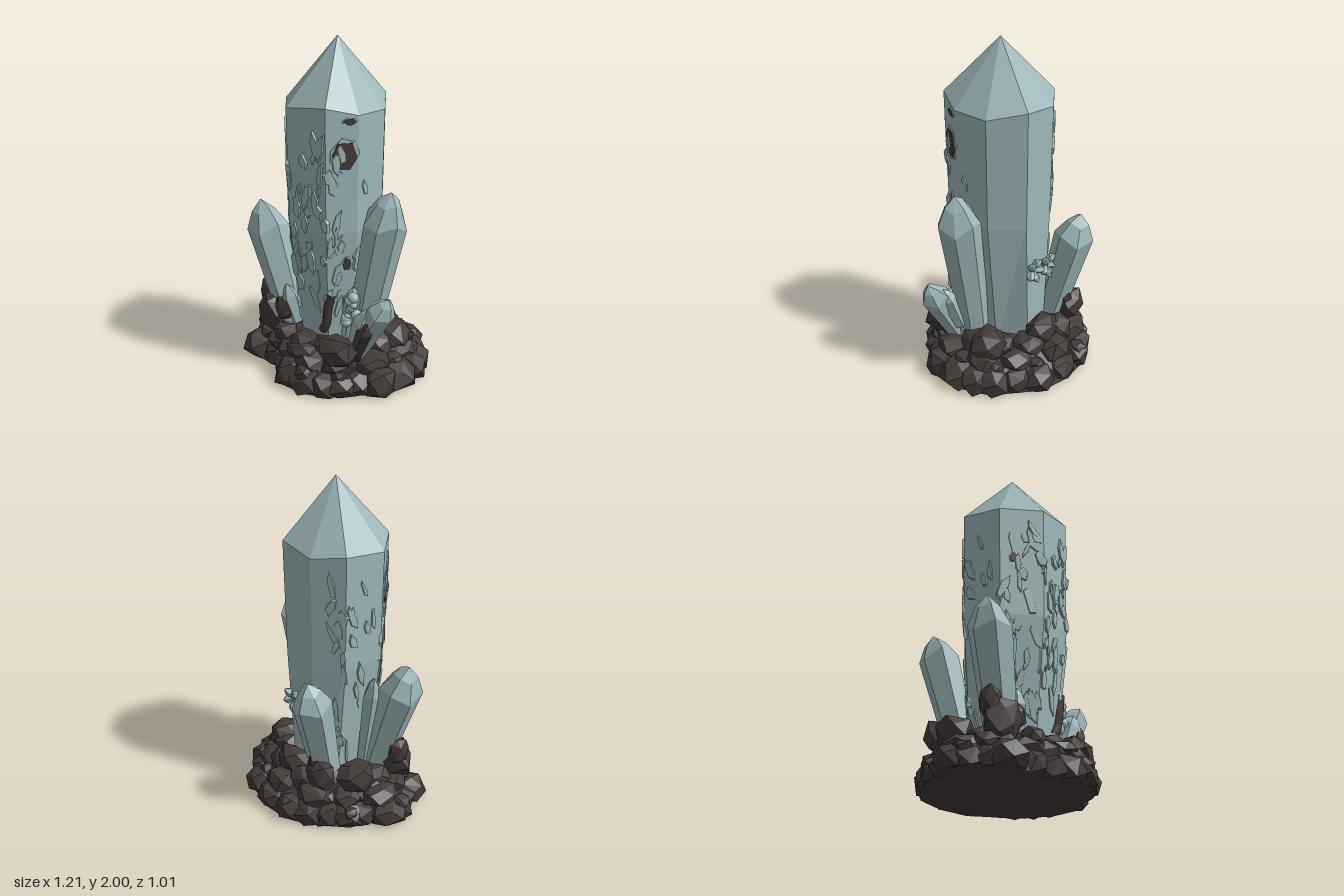
import * as THREE from 'three';
import { ConvexGeometry } from 'three/addons/geometries/ConvexGeometry.js';

const V = (x, y, z) => new THREE.Vector3(x, y, z);

// Small seeded random generator
let seed = 7;
const rnd = (a = 0, b = 1) => {
  seed = (seed * 16807) % 2147483647;
  return a + (b - a) * (seed / 2147483647);
};

// Faceted solid: stacked rings of points (counter-clockwise from above), closed by a tip
function solid(rings, tip) {
  const out = [], n = rings[0].length;
  const tri = (...p) => p.forEach((v) => out.push(v.x, v.y, v.z));
  const last = rings[rings.length - 1];
  const centre = rings[0].reduce((s, p) => s.add(p), V(0, 0, 0)).divideScalar(n);
  for (let i = 0; i < n; i++) {
    const j = (i + 1) % n;
    for (let k = 0; k + 1 < rings.length; k++) {
      const a = rings[k], b = rings[k + 1];
      tri(a[i], a[j], b[j]);
      tri(a[i], b[j], b[i]);
    }
    tri(last[i], last[j], tip);
    tri(rings[0][j], rings[0][i], centre);
  }
  const g = new THREE.BufferGeometry();
  g.setAttribute('position', new THREE.Float32BufferAttribute(out, 3));
  g.computeVertexNormals();
  return g;
}

// Leaning crystal from a base point to a tip, with a bevelled point
function spike(base, tip, r, sides = 6, shoulder = 0.8, turn = 0.3) {
  const axis = tip.clone().sub(base), len = axis.length();
  const q = new THREE.Quaternion().setFromUnitVectors(V(0, 1, 0), axis.normalize());
  const ring = (h, rad, uneven) => Array.from({ length: sides }, (_, i) => {
    const a = turn + (i / sides) * Math.PI * 2;
    const y = len * (h + (i % 2 ? uneven : -uneven));
    return V(Math.sin(a) * rad, y, Math.cos(a) * rad);
  });
  const g = solid([ring(0, r * 0.72, 0), ring(shoulder, r, 0.025), ring(shoulder + (1 - shoulder) * 0.62, r * 0.55, 0.012)], V(0, len, 0));
  return g.applyQuaternion(q).translate(base.x, base.y, base.z);
}

// Chiselled boulder, flattened where it meets the ground
function boulder(x, y, z, rx, ry, rz, count = 18) {
  const pts = [], spin = rnd(0, 6.28);
  for (let i = 0; i < count; i++) {
    const h = 1 - (2 * (i + 0.5)) / count, a = i * 2.4 + spin, s = Math.sqrt(1 - h * h), k = rnd(0.9, 1.12);
    // Blunt the top and bottom so the boulders read as slabs
    const flat = THREE.MathUtils.clamp(h * k, -0.8, 0.8) / 0.85;
    pts.push(V(x + Math.cos(a) * s * rx * k, Math.max(0, y + flat * ry), z + Math.sin(a) * s * rz * k));
  }
  return new ConvexGeometry(pts);
}

// Thin irregular flake lying in the local xy plane
function flake(w, h, thick, sides = 6, bevel = 0.75) {
  const pts = [];
  for (let i = 0; i < sides; i++) {
    const a = ((i + rnd(-0.25, 0.25)) / sides) * Math.PI * 2;
    const x = (Math.cos(a) * w) / 2, y = (Math.sin(a) * h) / 2;
    pts.push(V(x, y, -0.01), V(x * bevel, y * bevel, thick * rnd(0.8, 1)));
  }
  return new ConvexGeometry(pts);
}

export function createModel() {
  seed = 7;
  const root = new THREE.Group();
  const crystal = new THREE.MeshStandardMaterial({ color: 0x9fb8bb });
  crystal.name = 'paleCrystal';
  const rock = new THREE.MeshStandardMaterial({ color: 0x433b39 });
  rock.name = 'darkRock';
  const group = (name) => {
    const g = new THREE.Group();
    g.name = name;
    root.add(g);
    return g;
  };
  const add = (parent, name, geo, mat) => {
    const m = new THREE.Mesh(geo, mat);
    m.name = name;
    parent.add(m);
    return m;
  };

  // Main crystal: eight uneven sides, tapering to the base
  const plan = [[-0.08, 0.33], [0.2, 0.32], [0.3, 0.16], [0.3, -0.06], [0.16, -0.24], [-0.08, -0.235], [-0.25, -0.12], [-0.26, 0.14]];
  const tops = [1.63, 1.67, 1.62, 1.61, 1.65, 1.62, 1.65, 1.62];
  const mainRing = (s, sBack, y) => plan.map(([x, z], i) =>
    V(0.02 + (x - 0.02) * s, y ?? tops[i], 0.04 + (z - 0.04) * (z < 0 ? sBack : s)));
  const rings = [mainRing(0.66, 0.9, 0.15), mainRing(0.96, 0.96, 0.95), mainRing(1, 1)];
  add(root, 'mainCrystal', solid(rings, V(0.04, 2, 0.04)), crystal);

  // Places a flake flat on one side of the main crystal
  const onWall = (mesh, face, t, y, roll = 0) => {
    const k = y < 0.95 ? 0 : 1, j = (face + 1) % 8;
    const low = rings[k][face].clone().lerp(rings[k][j], t), high = rings[k + 1][face].clone().lerp(rings[k + 1][j], t);
    const u = rings[k][j].clone().sub(rings[k][face]).normalize();
    const n = u.clone().cross(high.clone().sub(low)).normalize();
    const v = n.clone().cross(u);
    mesh.quaternion.setFromRotationMatrix(new THREE.Matrix4().makeBasis(u, v, n));
    mesh.rotateZ(roll);
    mesh.position.copy(low.lerp(high, (y - low.y) / (high.y - low.y)));
  };

  // Chipped ridges over the weathered sides: side, count, range across the side
  const chips = group('surfaceChips');
  [[0, 30, 0, 1], [1, 16, 0, 0.5], [2, 8, 0, 0.4], [7, 42, 0.05, 1], [5, 14, 0.55, 1], [6, 10, 0, 0.9]].forEach(([face, count, from, to]) => {
    for (let i = 0; i < count; i++) {
      const chip = add(chips, 'chip', flake(rnd(0.02, 0.07), rnd(0.07, 0.22), rnd(0.005, 0.014), 5, 0.85), crystal);
      onWall(chip, face, rnd(from, to), rnd(0.35, 1.5), rnd(-0.45, 0.45));
    }
  });

  // Dark pits with broken rims: side, position across, height, width, height of pit
  const pits = group('darkPits');
  [[1, 0.58, 1.4, 0.15, 0.18], [1, 0.74, 1.59, 0.08, 0.04], [7, 0.3, 1.31, 0.05, 0.06],
    [7, 0.3, 0.58, 0.05, 0.13], [1, 0.7, 0.75, 0.05, 0.09]].forEach(([face, t, y, w, h]) => {
    const rim = add(pits, 'pitRim', flake(w * 1.2, h * 1.2, 0.005, 7, 0.95), crystal);
    onWall(rim, face, t, y);
    const pit = add(pits, 'pit', flake(w, h, 0.009, 6, 0.97), rock);
    onWall(pit, face, t, y);
  });

  // Side crystals: base, tip, radius
  const sides = group('sideCrystals');
  [
    ['rightTallCrystal', V(0.25, 0.2, 0.08), V(0.445, 1.19, 0.05), 0.125, 7, 0.82],
    ['leftCrystal', V(-0.22, 0.2, 0.13), V(-0.45, 0.97, 0.18), 0.125, 6, 0.78],
    ['backCrystal', V(-0.14, 0.2, -0.17), V(-0.205, 0.945, -0.355), 0.118, 6, 0.8],
    ['rightLowCrystal', V(0.3, 0.2, 0.17), V(0.545, 0.62, 0.18), 0.085, 6, 0.78],
    ['rightFrontChunk', V(0.29, 0.2, 0.18), V(0.43, 0.54, 0.21), 0.07, 5, 0.75],
    ['leftInnerShard', V(-0.2, 0.25, 0.06), V(-0.29, 0.87, 0.06), 0.055, 5, 0.8],
    ['leftFrontShard', V(-0.13, 0.2, 0.17), V(-0.21, 0.5, 0.22), 0.05, 5, 0.75],
    ['rightFrontShard', V(0.22, 0.25, 0.15), V(0.29, 0.62, 0.18), 0.055, 5, 0.8],
    ['rightEdgeShard', V(0.36, 0.3, 0.1), V(0.47, 0.58, 0.13), 0.05, 5, 0.75],
  ].forEach(([name, ...args]) => add(sides, name, spike(...args), crystal));

  // Small growths on the back and beads low on the front
  const growths = group('smallGrowths');
  [[-0.04, 0.64], [0.09, 0.66]].forEach(([cx, cy]) => {
    for (let i = 0; i < 5; i++) {
      const a = i * 1.257 + cx * 9;
      const tip = V(cx + Math.cos(a) * 0.075, cy + Math.sin(a) * 0.075, -0.265);
      add(growths, 'backGrowth', spike(V(cx, cy, -0.215), tip, 0.026, 5, 0.7), crystal);
    }
  });
  for (let i = 0; i < 9; i++) {
    const bead = new THREE.IcosahedronGeometry(rnd(0.02, 0.036), 1);
    bead.translate(0.28 + rnd(-0.045, 0.045), 0.4 + i * 0.02, 0.205 + rnd(-0.01, 0.01));
    add(growths, 'bead', bead, crystal);
  }

  // Rock base: a low mound ringed by boulders
  const base = group('rockBase');
  const outline = [[-0.6, 0.02], [-0.58, 0.1], [-0.5, 0.21], [-0.47, 0.33], [-0.26, 0.37], [-0.11, 0.36], [-0.08, 0.44], [0.01, 0.51],
    [0.16, 0.51], [0.27, 0.46], [0.37, 0.39], [0.45, 0.28], [0.56, 0.19], [0.595, 0.02], [0.57, -0.13], [0.52, -0.25], [0.4, -0.36],
    [0.29, -0.47], [0.08, -0.52], [-0.11, -0.5], [-0.26, -0.42], [-0.34, -0.34], [-0.45, -0.23], [-0.48, -0.12]];
  const moundRing = (s, y) => outline.map(([x, z]) => V(x * s, y, z * s));
  add(base, 'mound', solid([moundRing(0.92, 0), moundRing(0.86, 0.09), moundRing(0.62, 0.2)], V(0, 0.26, 0)), rock);
  outline.forEach(([x, z], i) => {
    const r = rnd(0.09, 0.125), k = 1 - r / Math.hypot(x, z);
    add(base, 'outerBoulder', boulder(x * k, rnd(0.04, 0.06), z * k, r, rnd(0.08, 0.115), r), rock);
    if (i % 2 === 0) add(base, 'middleBoulder', boulder(x * 0.68, 0.15, z * 0.68, rnd(0.1, 0.14), rnd(0.06, 0.085), rnd(0.1, 0.13)), rock);
    else add(base, 'innerBoulder', boulder(x * 0.54, 0.21, z * 0.54, rnd(0.09, 0.12), rnd(0.06, 0.085), rnd(0.08, 0.11)), rock);
  });
  // Rubble scattered over the slope
  for (let i = 0; i < 24; i++) {
    const [x, z] = outline[(i * 7) % 24], k = rnd(0.6, 0.9), r = rnd(0.045, 0.07);
    add(base, 'rubble', boulder(x * k, 0.34 - k * 0.27, z * k, r, r * 0.75, r, 14), rock);
  }
  // Raised rocks that cradle the crystals
  [[-0.33, 0.28, 0.2, 0.12, 0.12, 0.1], [-0.395, 0.38, 0.17, 0.055, 0.085, 0.07], [-0.23, 0.34, 0.2, 0.085, 0.08, 0.075],
    [0.27, 0.25, 0.3, 0.13, 0.09, 0.1], [0.05, 0.2, 0.35, 0.11, 0.05, 0.08], [-0.22, 0.31, -0.28, 0.1, 0.09, 0.07],
    [-0.17, 0.38, -0.285, 0.045, 0.08, 0.035], [0.05, 0.26, -0.27, 0.13, 0.08, 0.09], [-0.32, 0.27, -0.1, 0.11, 0.09, 0.12],
    [0.34, 0.23, -0.1, 0.12, 0.09, 0.12], [-0.15, 0.22, 0.28, 0.09, 0.06, 0.07],
  ].forEach((p) => add(base, 'raisedRock', boulder(...p), rock));
  // Leaning slab beside the low right crystal
  add(base, 'leaningSlab', spike(V(0.33, 0.2, 0.22), V(0.45, 0.47, 0.24), 0.05, 5, 0.75), rock);

  // Dark root climbing the front of the main crystal
  const path = new THREE.CatmullRomCurve3([V(0.12, 0.32, 0.255), V(0.15, 0.38, 0.26), V(0.165, 0.47, 0.265), V(0.19, 0.57, 0.26)]);
  add(root, 'climbingRoot', new THREE.TubeGeometry(path, 10, 0.026, 6), rock);
  return root;
}
